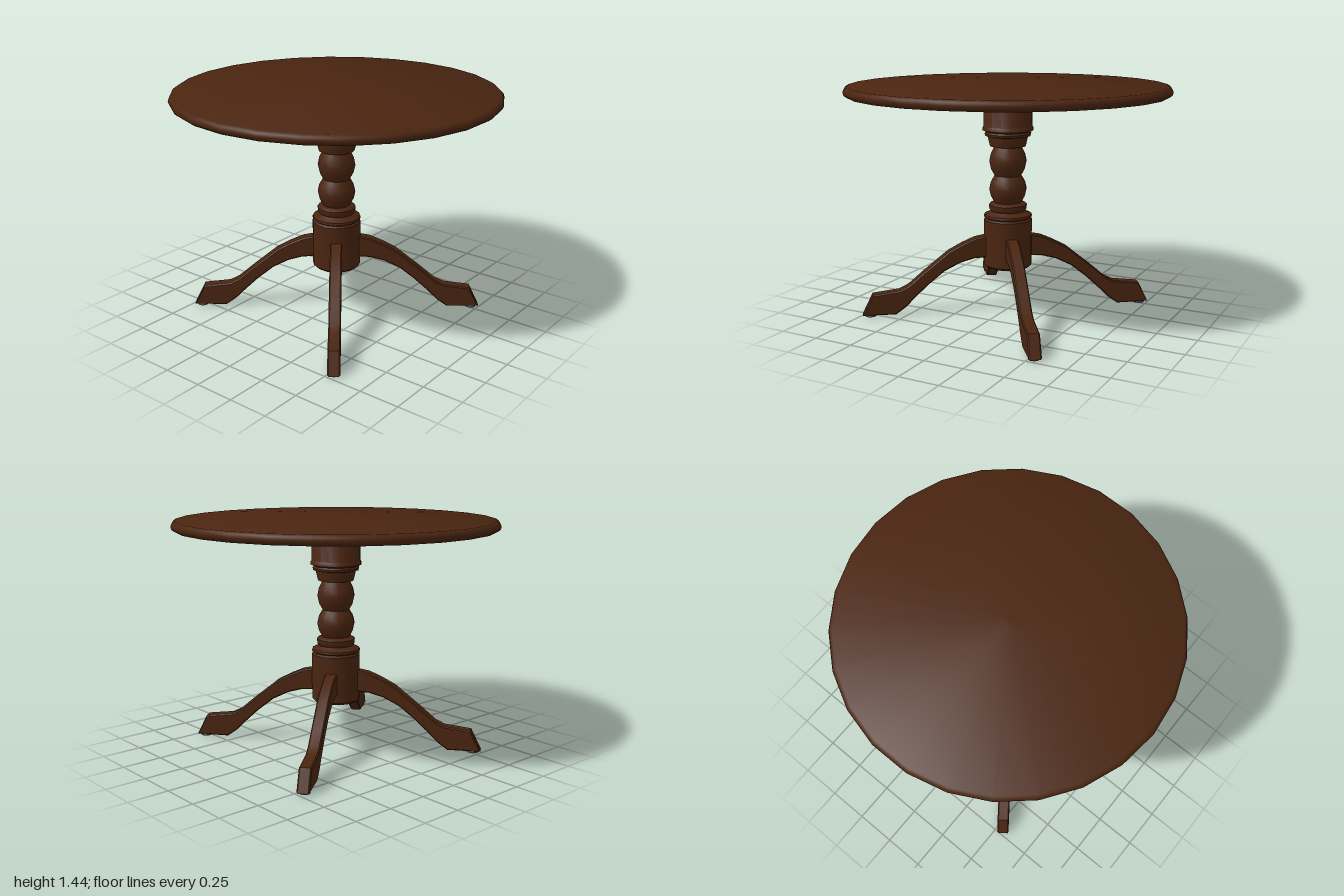
import * as THREE from 'three';
import { toCreasedNormals } from 'three/addons/utils/BufferGeometryUtils.js';

const wood = new THREE.MeshStandardMaterial({ color: 0x4a2510 });
wood.name = 'dark wood';
const felt = new THREE.MeshStandardMaterial({ color: 0x555555 });
felt.name = 'grey glide';

// Turned part: profile of [radius, height] from bottom to top
function turned(name, profile, sides, crease) {
  const pts = profile.map(([r, y]) => new THREE.Vector2(r, y));
  const geo = new THREE.LatheGeometry(pts, sides, Math.PI / sides);
  const mesh = new THREE.Mesh(toCreasedNormals(geo, crease), wood);
  mesh.name = name;
  return mesh;
}

// Curved leg, drawn as a side outline (distance from column, height)
function legGeometry() {
  const width = 0.074, bevel = 0.007;
  const outline = [
    [0.13, 0.49], [0.21, 0.475], [0.29, 0.44], [0.375, 0.395], [0.53, 0.27],
    [0.63, 0.185], [0.69, 0.155], [0.855, 0.135], [0.915, 0.017], [0.72, 0.017],
    [0.66, 0.06], [0.59, 0.13], [0.51, 0.205], [0.41, 0.285], [0.31, 0.335],
    [0.22, 0.36], [0.13, 0.365],
  ].reverse();
  const shape = new THREE.Shape(outline.map(([x, y]) => new THREE.Vector2(x, y)));
  const geo = new THREE.ExtrudeGeometry(shape, {
    depth: width - 2 * bevel, bevelEnabled: true, bevelSize: bevel,
    bevelThickness: bevel, bevelSegments: 1,
  });
  geo.translate(0, 0, bevel - width / 2);
  return toCreasedNormals(geo, 0.6);
}

export function createModel() {
  const table = new THREE.Group();
  table.name = 'pedestalTable';

  // Round top with eased edges
  table.add(turned('tableTop', [
    [0, 1.38], [0.98, 1.38], [0.997, 1.392], [1.003, 1.41], [0.997, 1.428], [0.98, 1.44], [0, 1.44],
  ], 26, 0.7));

  // Mounting plate under the top, with four screw heads
  table.add(turned('mountingPlate', [
    [0, 1.348], [0.31, 1.348], [0.298, 1.376], [0, 1.376],
  ], 16, 0.6));

  // Turned column
  table.add(turned('column', [
    [0, 0.29], [0.137, 0.29], [0.152, 0.305], [0.152, 0.595],
    [0.14, 0.605], [0.153, 0.615], [0.15, 0.628], [0.122, 0.64], [0.108, 0.65],
    [0.118, 0.662], [0.12, 0.69], [0.108, 0.7], [0.086, 0.705],
    [0.108, 0.745], [0.118, 0.79], [0.108, 0.835], [0.084, 0.875],
    [0.106, 0.915], [0.117, 0.965], [0.108, 1.01], [0.086, 1.055],
    [0.112, 1.06], [0.124, 1.11], [0.124, 1.12], [0.142, 1.125], [0.146, 1.14],
    [0.138, 1.15], [0.16, 1.16], [0.158, 1.178], [0.152, 1.185],
    [0.152, 1.335], [0.145, 1.35], [0, 1.35],
  ], 16, 0.7));

  // Four legs at right angles, each with a glide under the foot
  const legGeo = legGeometry();
  const glideGeo = new THREE.CylinderGeometry(0.034, 0.034, 0.014, 12);
  const screwGeo = new THREE.CylinderGeometry(0.014, 0.014, 0.008, 8);
  for (let i = 0; i < 4; i++) {
    const arm = new THREE.Group();
    arm.name = 'leg' + (i + 1);
    const leg = new THREE.Mesh(legGeo, wood);
    leg.name = 'curvedLeg';
    const glide = new THREE.Mesh(glideGeo, felt);
    glide.name = 'glide';
    glide.position.set(0.875, 0.007, 0);
    const screw = new THREE.Mesh(screwGeo, wood);
    screw.name = 'plateScrew';
    screw.position.set(0.24, 1.346, 0);
    arm.add(leg, glide, screw);
    arm.rotation.y = THREE.MathUtils.degToRad(37) + i * Math.PI / 2;
    table.add(arm);
  }
  return table;
}
